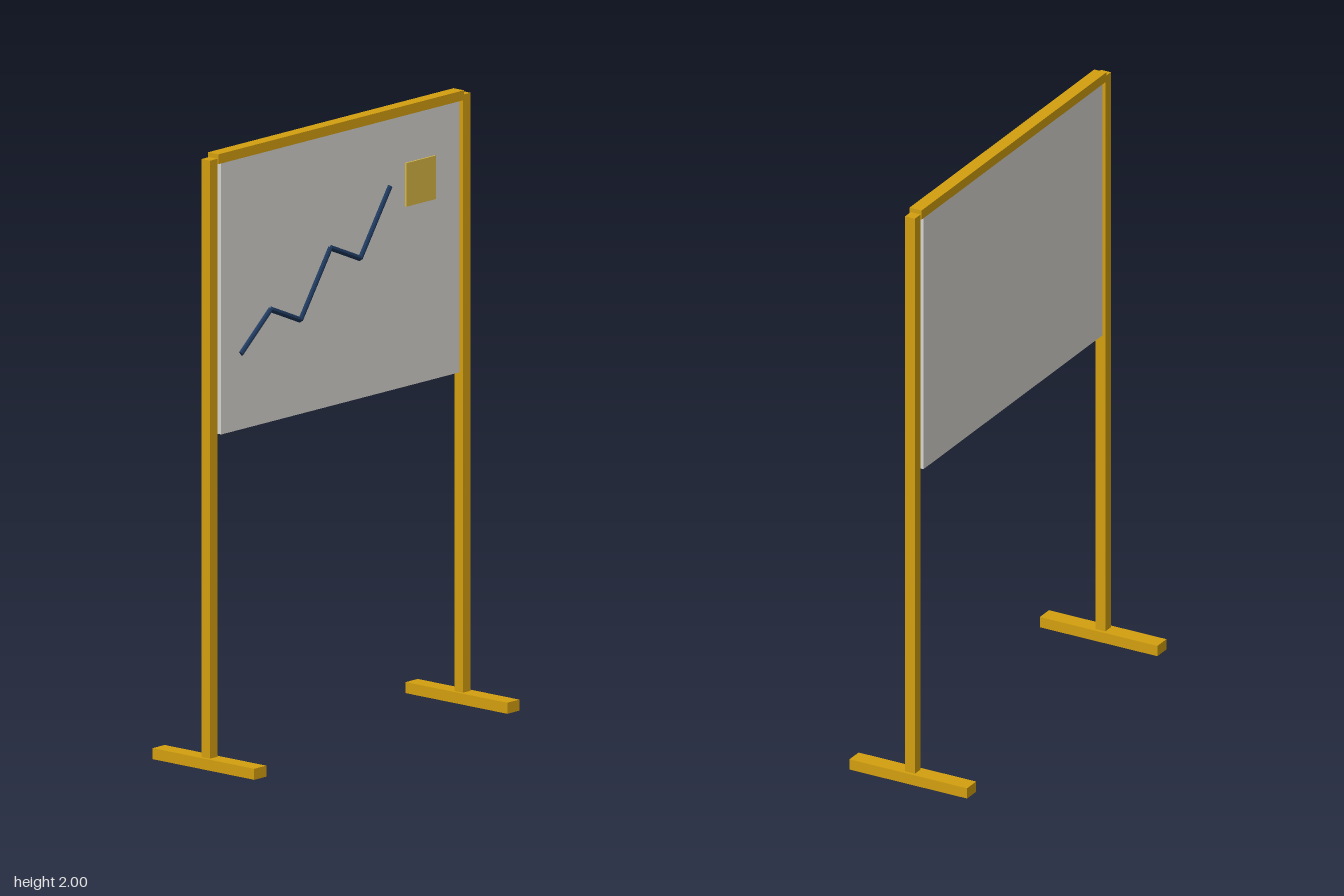
import * as THREE from 'three';

const gold = new THREE.MeshStandardMaterial({ color: 0xd4a00f });
const panelGrey = new THREE.MeshStandardMaterial({ color: 0xd8d6d0 });
const paleGold = new THREE.MeshStandardMaterial({ color: 0xd9b945 });
const navy = new THREE.MeshStandardMaterial({ color: 0x1f3a5f, flatShading: true });

function addBox(parent, name, material, [w, h, d], [x, y, z]) {
  const mesh = new THREE.Mesh(new THREE.BoxGeometry(w, h, d), material);
  mesh.name = name;
  mesh.position.set(x, y, z);
  parent.add(mesh);
}

export function createModel() {
  const model = new THREE.Group();
  model.name = 'chartBoard';

  // Feet and posts, mirrored
  for (const [side, s] of [['left', 1], ['right', -1]]) {
    addBox(model, side + 'Foot', gold, [0.058, 0.036, 0.43], [s * 0.606, 0.018, 0]);
    addBox(model, side + 'Post', gold, [0.036, 1.949, 0.036], [s * 0.606, 1.0105, 0]);
  }

  // Top bar and the hanging panel
  addBox(model, 'topBar', gold, [1.176, 0.032, 0.044], [0, 1.984, 0]);
  addBox(model, 'panel', panelGrey, [1.14, 0.885, 0.036], [0, 1.5255, 0]);

  // Square note on the panel front
  addBox(model, 'note', paleGold, [0.142, 0.142, 0.008], [0.381, 1.741, 0.02]);

  // Rising chart line made of thin rods
  const chart = new THREE.Group();
  chart.name = 'chartLine';
  const heights = [1.33, 1.45, 1.39, 1.6, 1.54, 1.75];
  const points = heights.map((y, i) => new THREE.Vector3(-0.479 + i * 0.143, y, 0.019));
  const up = new THREE.Vector3(0, 1, 0);
  for (let i = 0; i < points.length - 1; i++) {
    const dir = points[i + 1].clone().sub(points[i]);
    const rod = new THREE.Mesh(new THREE.CylinderGeometry(0.009, 0.009, dir.length(), 8), navy);
    rod.name = 'chartSegment' + (i + 1);
    rod.position.copy(points[i]).addScaledVector(dir, 0.5);
    rod.quaternion.setFromUnitVectors(up, dir.normalize());
    chart.add(rod);
  }
  model.add(chart);

  return model;
}
